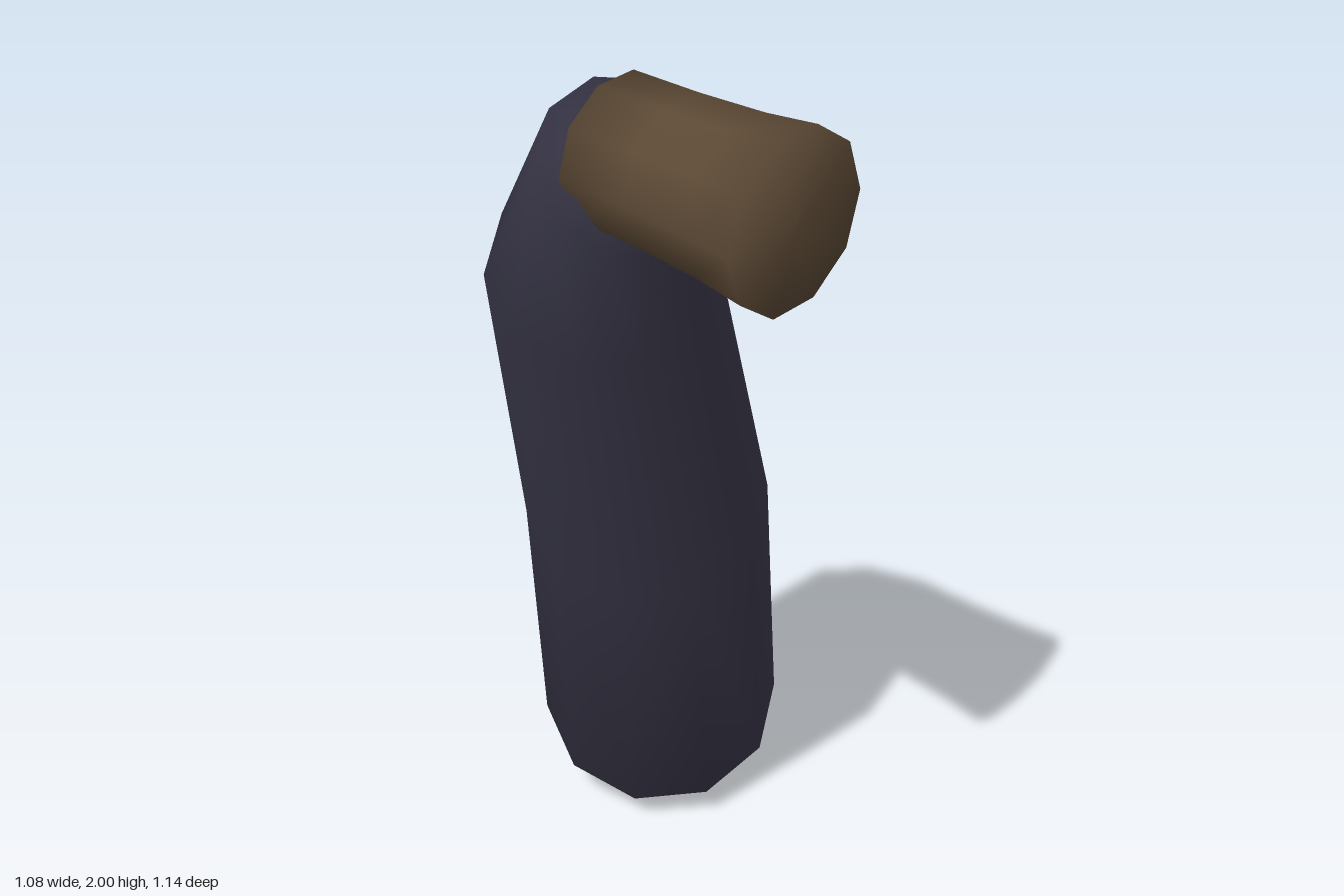
import * as THREE from 'three';
import { mergeVertices } from 'three/addons/utils/BufferGeometryUtils.js';

const SIDES = 10;

// Smooth tube through tilted rings: each is [centre, radius, axis]
function ringTube(rings, reference) {
  const positions = [], index = [];
  const u = new THREE.Vector3(), v = new THREE.Vector3(), p = new THREE.Vector3();
  rings.forEach(([centre, radius, axis], i) => {
    const n = new THREE.Vector3(...axis).normalize();
    u.copy(reference).addScaledVector(n, -reference.dot(n)).normalize();
    v.crossVectors(n, u);
    for (let j = 0; j < SIDES; j++) {
      const a = (j / SIDES) * Math.PI * 2;
      p.set(...centre)
        .addScaledVector(u, radius * Math.cos(a))
        .addScaledVector(v, radius * Math.sin(a));
      positions.push(p.x, p.y, p.z);
      if (i === rings.length - 1) continue;
      const k = (j + 1) % SIDES, r = i * SIDES, s = r + SIDES;
      if (i > 0) index.push(r + j, r + k, s + j);
      if (i < rings.length - 2) index.push(r + k, s + k, s + j);
      else if (i === 0) index.push(r + k, s + k, s + j);
    }
  });
  const geometry = new THREE.BufferGeometry();
  geometry.setAttribute('position', new THREE.Float32BufferAttribute(positions, 3));
  geometry.setIndex(index);
  const merged = mergeVertices(geometry); // closes each pointed end
  merged.computeVertexNormals();
  return merged;
}

export function createModel() {
  const group = new THREE.Group();
  const sleeveMaterial = new THREE.MeshStandardMaterial({ name: 'dark slate', color: 0x3b394b });
  const woodMaterial = new THREE.MeshStandardMaterial({ name: 'brown', color: 0x5c4935 });

  // Long bent limb, widening downward, with a shallow cone at each end
  const top = [0.29, -0.66, -0.69], bottom = [0.37, -0.875, -0.31];
  const limb = new THREE.Mesh(ringTube([
    [[-0.44, 1.94, 0.34], 0, top],
    [[-0.4, 1.85, 0.255], 0.138, top],
    [[-0.27, 1.57, 0.075], 0.183, [0.374, -0.85, -0.364]],
    [[0, 0.94, -0.085], 0.214, [0.378, -0.887, -0.27]],
    [[0.32, 0.19, -0.35], 0.232, bottom],
    [[0.4, 0.005, -0.413], 0, bottom],
  ], new THREE.Vector3(0.215, 0.077, 0.04)), sleeveMaterial);
  limb.name = 'limb';
  group.add(limb);

  // Flared stub pointing forward from the top of the limb
  const profile = [[0, 0.225], [0.119, 0.235], [0.122, 0.36], [0.129, 0.48], [0.14, 0.57], [0, 0.574]]
    .map(([r, z]) => new THREE.Vector2(r, z));
  const stub = new THREE.Mesh(
    new THREE.LatheGeometry(profile, SIDES, Math.PI / 10), woodMaterial);
  stub.name = 'stub';
  stub.rotation.x = Math.PI / 2;
  stub.position.set(-0.4, 1.868, 0);
  group.add(stub);

  return group;
}
